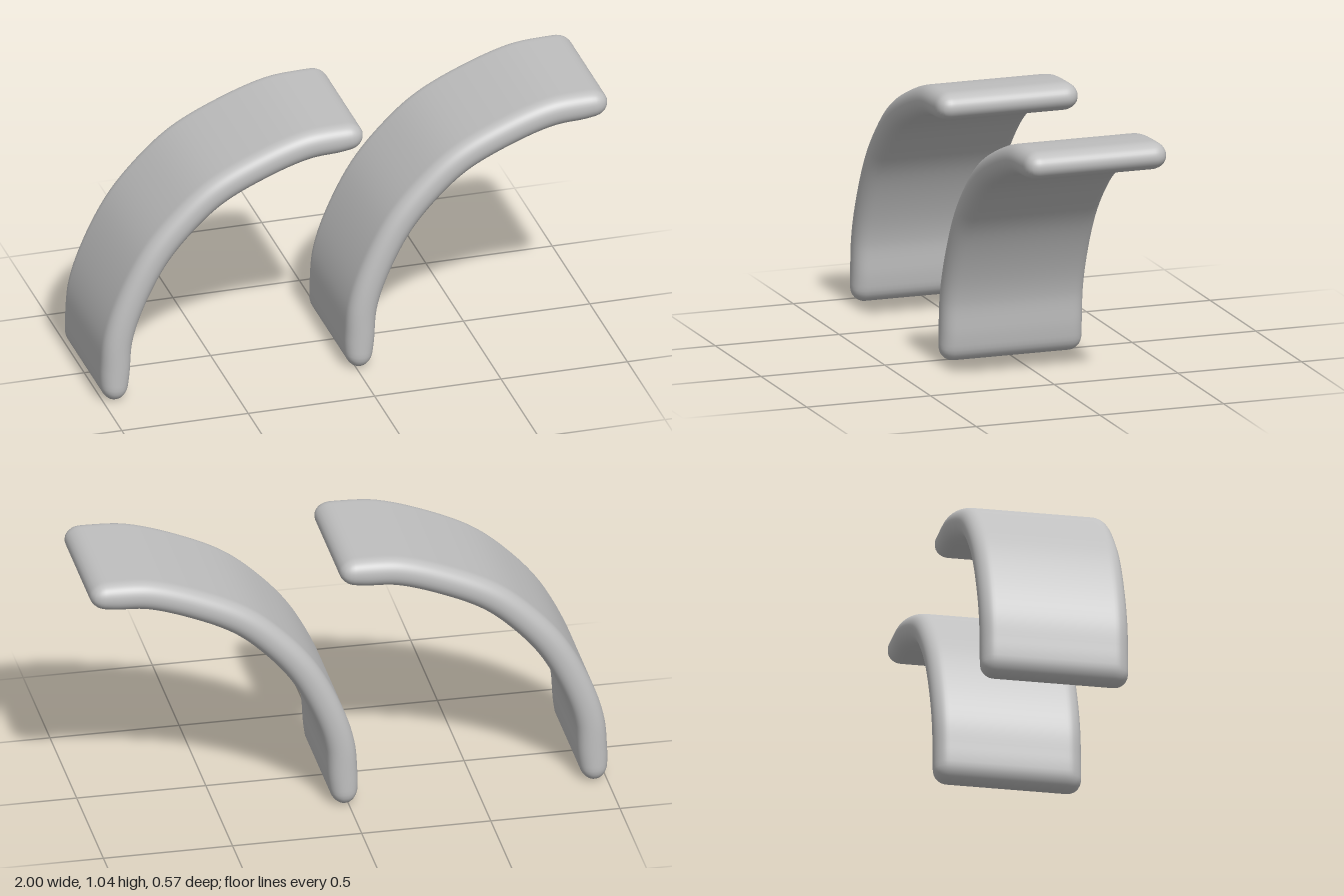
import * as THREE from 'three';
import { mergeVertices } from 'three/addons/utils/BufferGeometryUtils.js';

const THICK = 0.115, WIDTH = 0.57, RADIUS = 0.055, SPACING = 0.967;

// Centre line of one band, from the foot up to the level tip
const centreLine = new THREE.CatmullRomCurve3([
  [-0.955, 0.002], [-0.948, 0.12], [-0.937, 0.25], [-0.893, 0.39], [-0.795, 0.58],
  [-0.682, 0.715], [-0.555, 0.823], [-0.375, 0.912], [-0.195, 0.971], [-0.06, 0.982], [0.031, 0.99],
].map(([x, y]) => new THREE.Vector3(x, y, 0)));

// A rounded slab bent along the centre line, thinning towards both ends
function bandGeometry() {
  const length = centreLine.getLength();
  let geometry = new THREE.BoxGeometry(length, THICK, WIDTH, 90, 10, 50);
  geometry.deleteAttribute('uv');
  geometry.deleteAttribute('normal');
  geometry = mergeVertices(geometry);
  const pos = geometry.attributes.position;
  const inner = new THREE.Vector3(length, THICK, WIDTH).multiplyScalar(0.5).subScalar(RADIUS);
  const low = inner.clone().negate();
  const p = new THREE.Vector3(), core = new THREE.Vector3();
  for (let i = 0; i < pos.count; i++) {
    // Round the edges and corners
    p.fromBufferAttribute(pos, i);
    core.copy(p).clamp(low, inner);
    p.sub(core).setLength(RADIUS).add(core);
    // Thin the ends
    const fromEnd = Math.max(0, length / 2 - Math.abs(p.x));
    const taper = 1 - 0.22 * Math.max(0, 1 - fromEnd / 0.13) ** 2;
    // Bend along the curve
    const u = THREE.MathUtils.clamp(p.x / length + 0.5, 0, 1);
    const c = centreLine.getPointAt(u), t = centreLine.getTangentAt(u);
    const offset = p.y * taper;
    pos.setXYZ(i, c.x - t.y * offset, c.y + t.x * offset, p.z);
  }
  geometry.computeVertexNormals();
  return geometry;
}

export function createModel() {
  const group = new THREE.Group();
  const grey = new THREE.MeshStandardMaterial({ color: 0xbfbfbf });
  grey.name = 'light grey';
  const geometry = bandGeometry();
  // Two identical curved bands side by side
  ['rightCurvedBand', 'leftCurvedBand'].forEach((name, i) => {
    const band = new THREE.Mesh(geometry, grey);
    band.name = name;
    band.position.x = i * SPACING;
    group.add(band);
  });
  return group;
}
